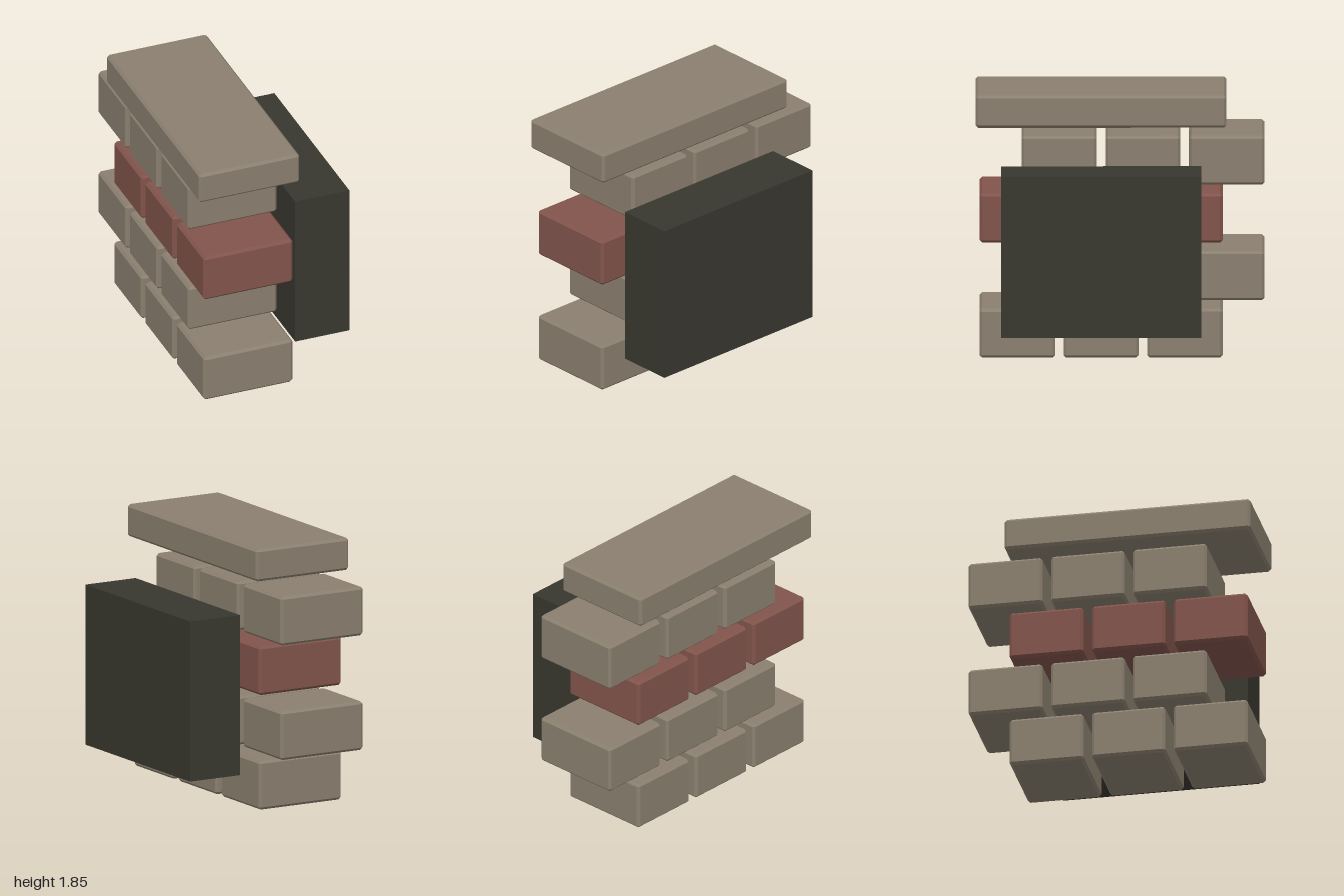
import * as THREE from 'three';
import { ConvexGeometry } from 'three/addons/geometries/ConvexGeometry.js';

// Box with every edge and corner cut by a flat chamfer
function chamferedBox(w, h, d, c) {
  const points = [];
  for (const sx of [-1, 1]) for (const sy of [-1, 1]) for (const sz of [-1, 1]) {
    const x = sx * w / 2, y = sy * h / 2, z = sz * d / 2;
    points.push(
      new THREE.Vector3(x, y - sy * c, z - sz * c),
      new THREE.Vector3(x - sx * c, y, z - sz * c),
      new THREE.Vector3(x - sx * c, y - sy * c, z)
    );
  }
  return new ConvexGeometry(points);
}

export function createModel() {
  const model = new THREE.Group();
  model.name = 'brickWall';

  const stone = new THREE.MeshStandardMaterial({ name: 'stone', color: 0x8a7f6f });
  const redBrick = new THREE.MeshStandardMaterial({ name: 'redBrick', color: 0x81544b });
  const darkPanel = new THREE.MeshStandardMaterial({ name: 'darkPanel', color: 0x38372f });

  function add(name, geometry, material, x, y, z) {
    const mesh = new THREE.Mesh(geometry, material);
    mesh.name = name;
    mesh.position.set(x, y, z);
    model.add(mesh);
  }

  // Four staggered courses of three bricks; the third course is red
  const brick = chamferedBox(0.665, 0.345, 0.521, 0.018);
  for (let row = 0; row < 4; row++) {
    const shift = row % 2 ? -0.289 : 0;
    for (let i = 0; i < 3; i++) {
      add(`brickRow${row + 1}Number${i + 1}`, brick, row === 2 ? redBrick : stone,
        -0.218, 0.1735 + row * 0.406, 0.711 - i * 0.581 + shift);
    }
  }

  // Overhanging coping slab
  add('copingSlab', chamferedBox(0.75, 0.228, 1.738, 0.018), stone, -0.22, 1.742, 0.131);

  // Plain block standing beside the wall
  add('sideBlock', new THREE.BoxGeometry(0.404, 1.135, 1.39), darkPanel, 0.39, 0.799, 0.13);

  return model;
}
